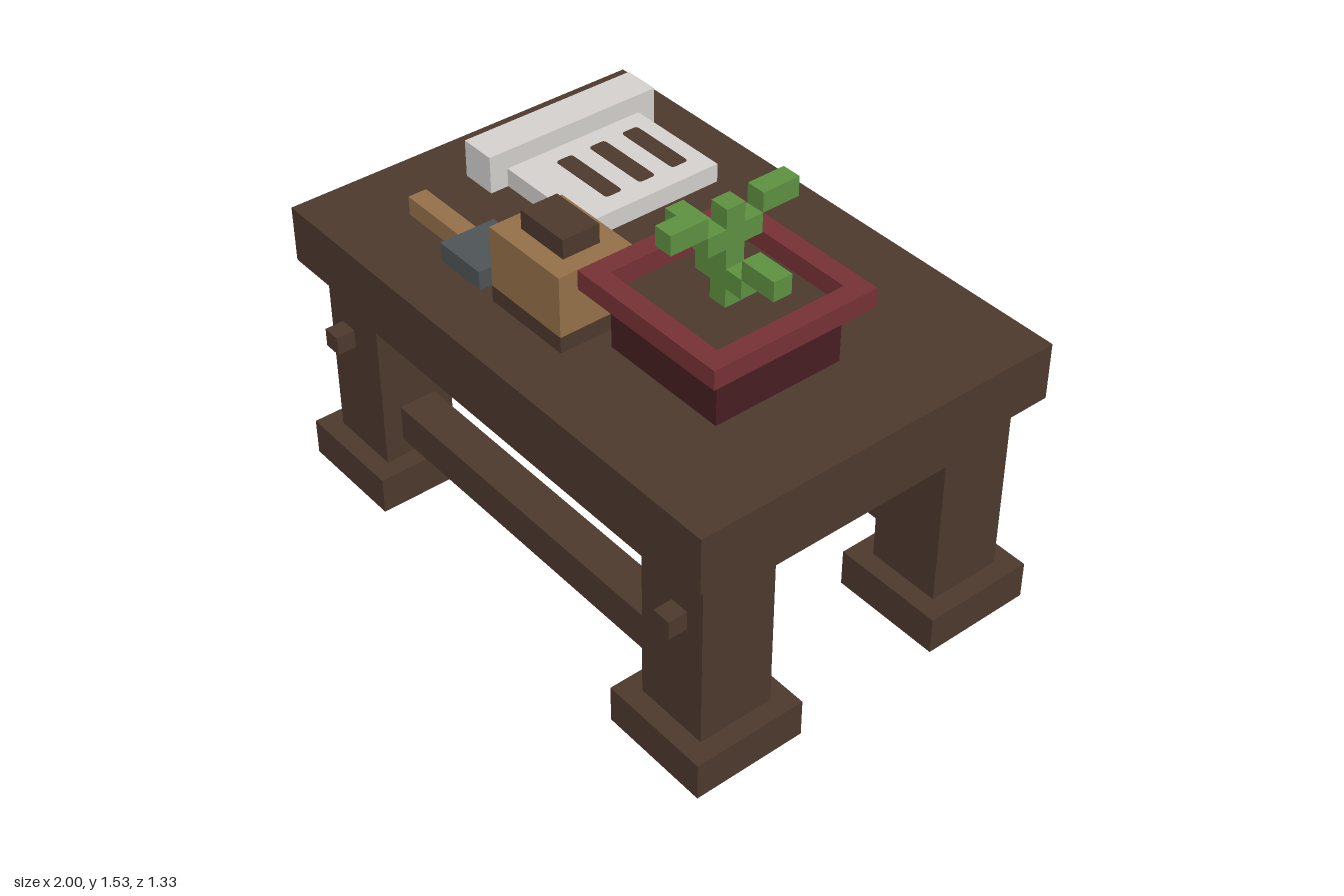
import * as THREE from 'three';

export function createModel() {
  const group = new THREE.Group();
  group.name = 'workTable';

  const mat = (name, color) => {
    const m = new THREE.MeshStandardMaterial({ color });
    m.name = name;
    return m;
  };
  const wood = mat('dark wood', 0x4e3a2d);
  const tan = mat('tan wood', 0x97714a);
  const paper = mat('paper grey', 0xd6d3d0);
  const slate = mat('slate', 0x505557);
  const red = mat('red clay', 0x783236);
  const maroon = mat('dark clay', 0x471f22);
  const green = mat('leaf green', 0x5e9241);

  // Sizes are laid out on a grid of 1/15 unit: box from corner (x0,y0,z0) to (x1,y1,z1)
  const U = 1 / 15;
  const box = (name, material, [x0, y0, z0], [x1, y1, z1]) => {
    const geo = new THREE.BoxGeometry((x1 - x0) * U, (y1 - y0) * U, (z1 - z0) * U);
    const mesh = new THREE.Mesh(geo, material);
    mesh.name = name;
    mesh.position.set((x0 + x1) * U / 2, (y0 + y1) * U / 2, (z0 + z1) * U / 2);
    group.add(mesh);
  };
  // Box given by centre in x and z, size, and height range
  const block = (name, material, cx, cz, w, d, y0, y1) =>
    box(name, material, [cx - w / 2, y0, cz - d / 2], [cx + w / 2, y1, cz + d / 2]);

  // Table: open underneath, with apron boards between the legs
  block('tableTop', wood, 0, 0, 30, 20, 12, 15);
  for (const sz of [-1, 1]) {
    for (const sx of [-1, 1]) {
      block('leg', wood, sx * 12, sz * 7, 4, 4, 2, 12);
      block('foot', wood, sx * 12, sz * 7, 6, 6, 0, 2);
      block('peg', wood, sx * 12.5, sz * 9.5, 1, 1, 8, 9);
    }
    block('longApron', wood, 0, sz * 8, 20, 2, 10, 12);
    block('sideApron', wood, sz * 13, 0, 2, 10, 10, 12);
    block('stretcher', wood, 0, sz * 7, 20, 2, 3, 5);
  }

  // Scroll: rolled end, flat sheet and three written lines with rounded corners
  box('scrollRoll', paper, [-12, 15, -8], [-10, 17, 2]);
  box('scrollSheet', paper, [-10, 15, -7], [-4, 16, 1]);
  const w = 1.95 * U, h = 0.48 * U, r = 0.2 * U;
  const line = new THREE.Shape();
  line.moveTo(-w + r, -h);
  line.lineTo(w - r, -h);
  line.quadraticCurveTo(w, -h, w, -h + r);
  line.lineTo(w, h - r);
  line.quadraticCurveTo(w, h, w - r, h);
  line.lineTo(-w + r, h);
  line.quadraticCurveTo(-w, h, -w, h - r);
  line.lineTo(-w, -h + r);
  line.quadraticCurveTo(-w, -h, -w + r, -h);
  const lineGeo = new THREE.ExtrudeGeometry(line, { depth: 0.002, bevelEnabled: false, curveSegments: 3 });
  lineGeo.rotateX(-Math.PI / 2);
  for (const z of [-5.6, -3.6, -1.6]) {
    const mesh = new THREE.Mesh(lineGeo, wood);
    mesh.name = 'scrollLine';
    mesh.position.set(-7.05 * U, 16 * U, z * U);
    group.add(mesh);
  }

  // Hammer
  box('hammerHandle', tan, [-11, 15, 5], [-7, 16, 6]);
  box('hammerHead', slate, [-7, 15, 4], [-4, 16, 7]);

  // Jar
  box('jarBase', wood, [-3, 15, 3], [2, 15.85, 7]);
  box('jarBody', tan, [-3, 15.85, 3], [2, 19, 7]);
  box('jarLid', wood, [-2, 19, 4], [1, 20, 6]);

  // Planter: body, soil and an open square rim
  box('potBody', maroon, [3, 15, -2], [10, 17, 5]);
  box('soil', wood, [3, 17, -2], [10, 18, 5]);
  box('potRimBack', red, [2, 18, -3], [11, 19, -2]);
  box('potRimFront', red, [2, 18, 5], [11, 19, 6]);
  box('potRimRight', red, [2, 18, -2], [3, 19, 5]);
  box('potRimLeft', red, [10, 18, -2], [11, 19, 5]);

  // Plant: stem with a low pair of branches along x and a high pair along z
  const px = 6.5, pz = 1.5;
  block('stem', green, px, pz, 1, 1, 18, 23);
  for (const s of [-1, 1]) {
    block('lowBranch', green, px + s, pz, 1, 1, 19, 20);
    block('lowLeaf', green, px + s * 2.5, pz, 2, 1, 20, 21);
    block('highBranch', green, px, pz + s, 1, 1, 21, 22);
    block('highLeaf', green, px, pz + s * 2.5, 1, 2, 22, 23);
  }

  return group;
}
